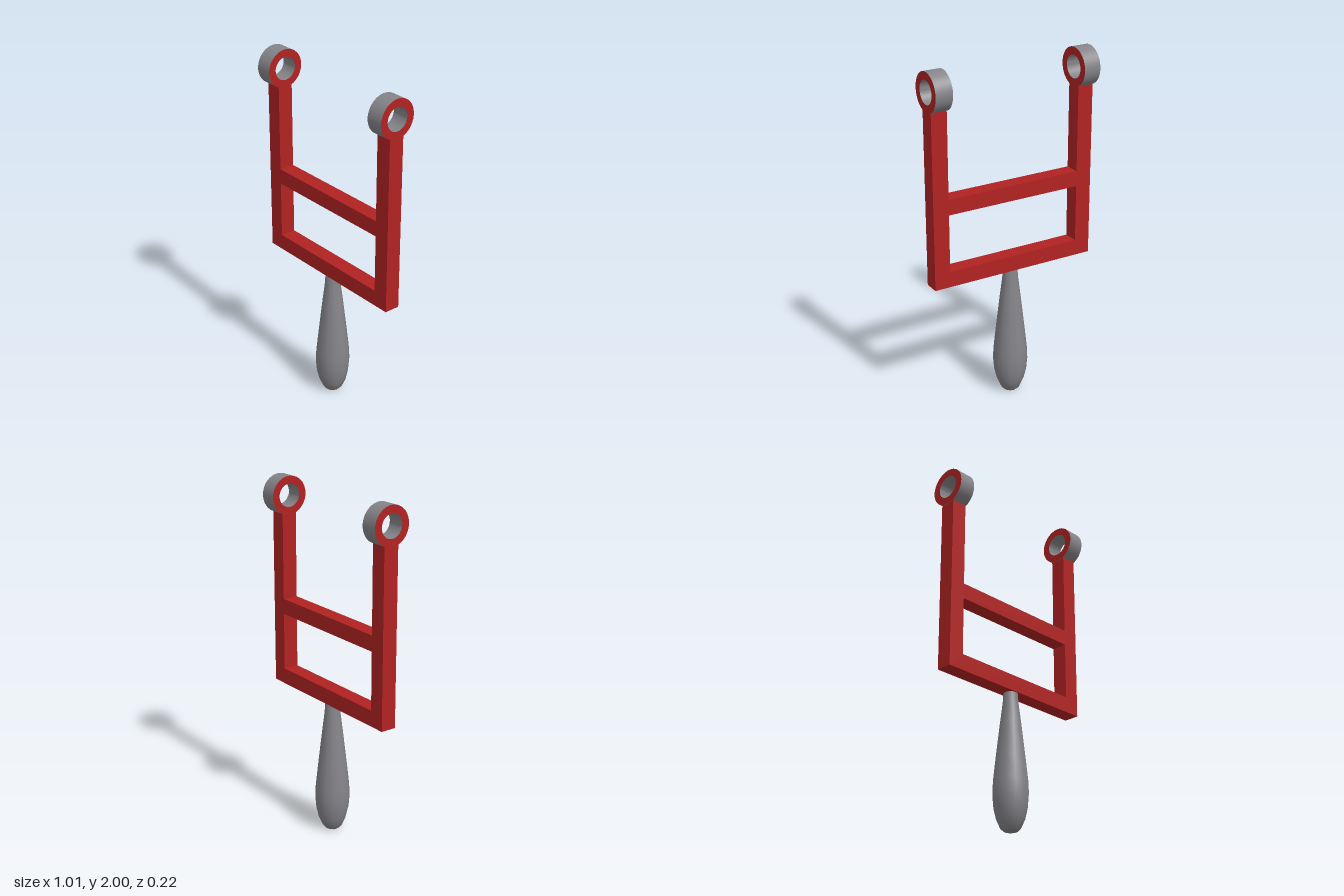
import * as THREE from 'three';
import { toCreasedNormals } from 'three/addons/utils/BufferGeometryUtils.js';

export function createModel() {
  const red = new THREE.MeshStandardMaterial({ color: 0xb22222 });
  red.name = 'red';
  const grey = new THREE.MeshStandardMaterial({ color: 0x858489 });
  grey.name = 'grey';

  const model = new THREE.Group();
  model.name = 'slingshot';
  const add = (name, geometry, material) => {
    const mesh = new THREE.Mesh(geometry, material);
    mesh.name = name;
    model.add(mesh);
    return mesh;
  };
  const toPoints = (list) => list.map(([x, y]) => new THREE.Vector2(x, y));

  // Square-section fork: two prongs and two crossbars in one piece
  const outline = new THREE.Shape(toPoints([
    [-0.5, 0.78], [0.5, 0.78], [0.5, 1.79], [0.407, 1.79],
    [0.407, 1.295], [-0.407, 1.295], [-0.407, 1.79], [-0.5, 1.79],
  ]));
  outline.holes.push(new THREE.Path(toPoints([
    [-0.407, 0.872], [-0.407, 1.205], [0.407, 1.205], [0.407, 0.872],
  ])));
  const fork = new THREE.ExtrudeGeometry(outline, { depth: 0.09, bevelEnabled: false });
  fork.translate(0, 0, -0.045);
  add('fork', fork, red);

  // Eyelets at the prong tips: red faces, grey inner and outer walls
  const ring = new THREE.Shape();
  ring.absarc(0, 0, 0.11, 0, Math.PI * 2);
  const bore = new THREE.Path();
  bore.absarc(0, 0, 0.066, 0, Math.PI * 2, true);
  ring.holes.push(bore);
  const width = 0.1;
  const eyelet = toCreasedNormals(
    new THREE.ExtrudeGeometry(ring, { depth: width, bevelEnabled: false, curveSegments: 24 })
      .translate(0, 0, -width / 2)
      .rotateY(Math.PI / 2),
    0.7,
  );
  for (const [name, side] of [['leftEyelet', 1], ['rightEyelet', -1]]) {
    add(name, eyelet, [red, grey]).position.set(side * 0.453, 1.89, 0);
  }

  // Teardrop handle with a small flat foot
  const profile = toPoints([
    [0, 0], [0.04, 0], [0.057, 0.018], [0.08, 0.07], [0.094, 0.13], [0.1, 0.2],
    [0.097, 0.27], [0.083, 0.4], [0.06, 0.6], [0.045, 0.72], [0.04, 0.79],
  ]);
  add('handle', toCreasedNormals(new THREE.LatheGeometry(profile, 12), 0.7), grey);

  return model;
}
